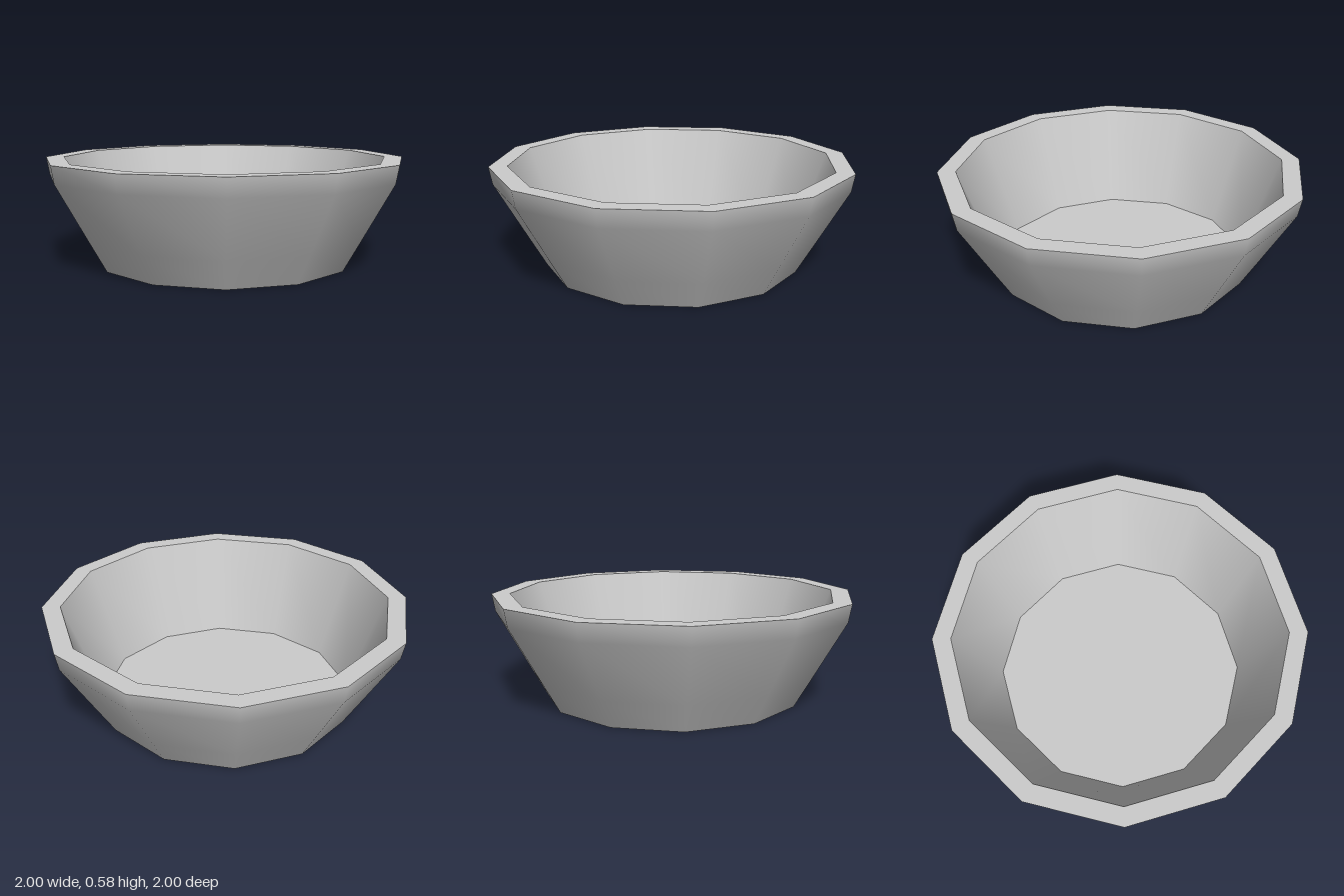
import * as THREE from 'three';

const SIDES = 12;

export function createModel() {
  const bowl = new THREE.Group();
  bowl.name = 'bowl';
  const material = new THREE.MeshStandardMaterial({ color: 0xcccccc });

  // Each section is smooth in itself; sections meet at hard edges.
  // Points run from the underside, up the outside, over the rim and down inside.
  const sections = {
    base: [[0, 0], [0.715, 0]],
    outerWall: [[0.715, 0], [0.805, 0.16], [0.983, 0.48], [1, 0.577]],
    rim: [[1, 0.577], [0.9, 0.577]],
    innerWall: [[0.9, 0.577], [0.705, 0.02]],
    floor: [[0.705, 0.02], [0, 0.02]],
  };

  for (const [name, profile] of Object.entries(sections)) {
    const points = profile.map(([r, y]) => new THREE.Vector2(r, y));
    const mesh = new THREE.Mesh(new THREE.LatheGeometry(points, SIDES), material);
    mesh.name = name;
    bowl.add(mesh);
  }
  return bowl;
}
